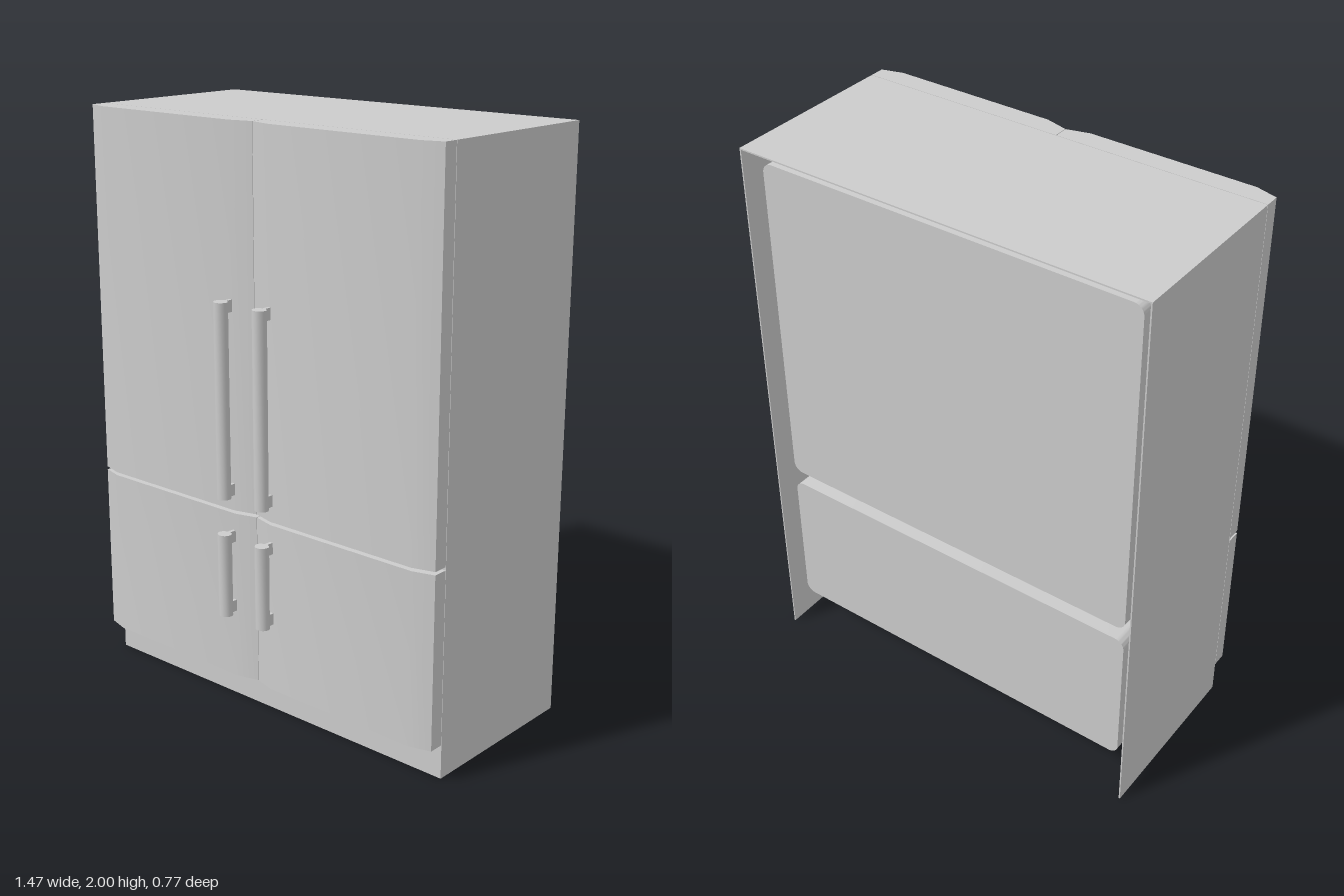
import * as THREE from 'three';
import { toCreasedNormals } from 'three/addons/utils/BufferGeometryUtils.js';

const HALF = 0.735, HEIGHT = 2, BACK = -0.385, FRONT = 0.243, SHEET = 0.005;
const LINERS = [['upperLiner', 0.735, 1.948], ['lowerLiner', 0.155, 0.682]];
const LINER_HALF = 0.688, LINER_BACK = -0.342, CORNER = 0.035;

const grey = new THREE.MeshStandardMaterial({ color: 0xcccccc });

function addMesh(parent, name, geometry) {
  const mesh = new THREE.Mesh(geometry, grey);
  mesh.name = name;
  parent.add(mesh);
  return mesh;
}

// Extrude a shape along +z, smooth except at sharp edges
function extrude(shape, depth) {
  const g = new THREE.ExtrudeGeometry(shape, { depth, bevelEnabled: false, curveSegments: 6 });
  return toCreasedNormals(g, 0.6);
}

// Extrude an [x, z] outline upwards from y0 to y1
function upright(outline, y0, y1) {
  const shape = new THREE.Shape(outline.map(([x, z]) => new THREE.Vector2(x, -z)));
  return extrude(shape, y1 - y0).rotateX(-Math.PI / 2).translate(0, y0, 0);
}

function roundedRect(target, hw, y0, y1, r) {
  target.moveTo(-hw + r, y0);
  target.lineTo(hw - r, y0);
  target.absarc(hw - r, y0 + r, r, -Math.PI / 2, 0);
  target.lineTo(hw, y1 - r);
  target.absarc(hw - r, y1 - r, r, 0, Math.PI / 2);
  target.lineTo(-hw + r, y1);
  target.absarc(-hw + r, y1 - r, r, Math.PI / 2, Math.PI);
  target.lineTo(-hw, y0 + r);
  target.absarc(-hw + r, y0 + r, r, Math.PI, Math.PI * 1.5);
  return target;
}

// Sheet cabinet: sides and top, open at the back and underneath
function addCabinet(parent) {
  const i = HALF - SHEET, t = HEIGHT - SHEET;
  const section = new THREE.Shape([
    [-HALF, 0], [-i, 0], [-i, t], [i, t], [i, 0], [HALF, 0], [HALF, HEIGHT], [-HALF, HEIGHT],
  ].map(([x, y]) => new THREE.Vector2(x, y)));
  addMesh(parent, 'cabinetShell', extrude(section, FRONT - BACK).translate(0, 0, BACK));

  // Front frame with the kick plate and an opening for each liner
  const frame = new THREE.Shape([
    new THREE.Vector2(-i, 0), new THREE.Vector2(i, 0), new THREE.Vector2(i, t), new THREE.Vector2(-i, t),
  ]);
  for (const [, y0, y1] of LINERS) {
    frame.holes.push(roundedRect(new THREE.Path(), LINER_HALF - SHEET, y0 + SHEET, y1 - SHEET, CORNER - SHEET));
  }
  addMesh(parent, 'frontFrame', extrude(frame, SHEET).translate(0, 0, FRONT - SHEET));
}

// Compartment: round-cornered walls with a closed back
function addLiner(parent, [name, y0, y1]) {
  const liner = new THREE.Group();
  liner.name = name;
  const wall = roundedRect(new THREE.Shape(), LINER_HALF, y0, y1, CORNER);
  wall.holes.push(roundedRect(new THREE.Path(), LINER_HALF - SHEET, y0 + SHEET, y1 - SHEET, CORNER - SHEET));
  const start = LINER_BACK + SHEET;
  addMesh(liner, 'linerWalls', extrude(wall, FRONT - SHEET - start).translate(0, 0, start));
  const back = roundedRect(new THREE.Shape(), LINER_HALF, y0, y1, CORNER);
  addMesh(liner, 'linerBack', extrude(back, SHEET).translate(0, 0, LINER_BACK));
  parent.add(liner);
}

// Door with softly tapered front edges, and its bar handle on two posts
function addDoor(parent, name, side, y0, y1, h0, h1) {
  const door = new THREE.Group();
  door.name = name;
  const outline = [[0.001, 0.245], [HALF, 0.245], [HALF, 0.296], [0.66, 0.317], [0.08, 0.317], [0.001, 0.296]];
  addMesh(door, 'doorPanel', upright(outline.map(([x, z]) => [side * x, z]), y0, y1));

  const cx = side * 0.084;
  const bar = [
    [-0.006, 0.341], [-0.019, 0.348], [-0.025, 0.357], [-0.024, 0.368], [-0.017, 0.379], [-0.006, 0.385],
    [0.006, 0.385], [0.017, 0.379], [0.024, 0.368], [0.025, 0.357], [0.019, 0.348], [0.006, 0.341],
  ];
  addMesh(door, 'handleBar', upright(bar.map(([x, z]) => [cx + x, z]), h0, h1));
  for (const y of [h0 + 0.02, h1 - 0.02]) {
    addMesh(door, 'handlePost', new THREE.BoxGeometry(0.012, 0.04, 0.035)).position.set(cx, y, 0.329);
  }
  parent.add(door);
}

export function createModel() {
  const model = new THREE.Group();
  model.name = 'refrigerator';
  addCabinet(model);
  LINERS.forEach((liner) => addLiner(model, liner));
  for (const [label, side] of [['left', 1], ['right', -1]]) {
    addDoor(model, label + 'UpperDoor', side, 0.72, HEIGHT, 0.775, 1.435);
    addDoor(model, label + 'LowerDoor', side, 0.118, 0.709, 0.36, 0.65);
  }
  return model;
}
